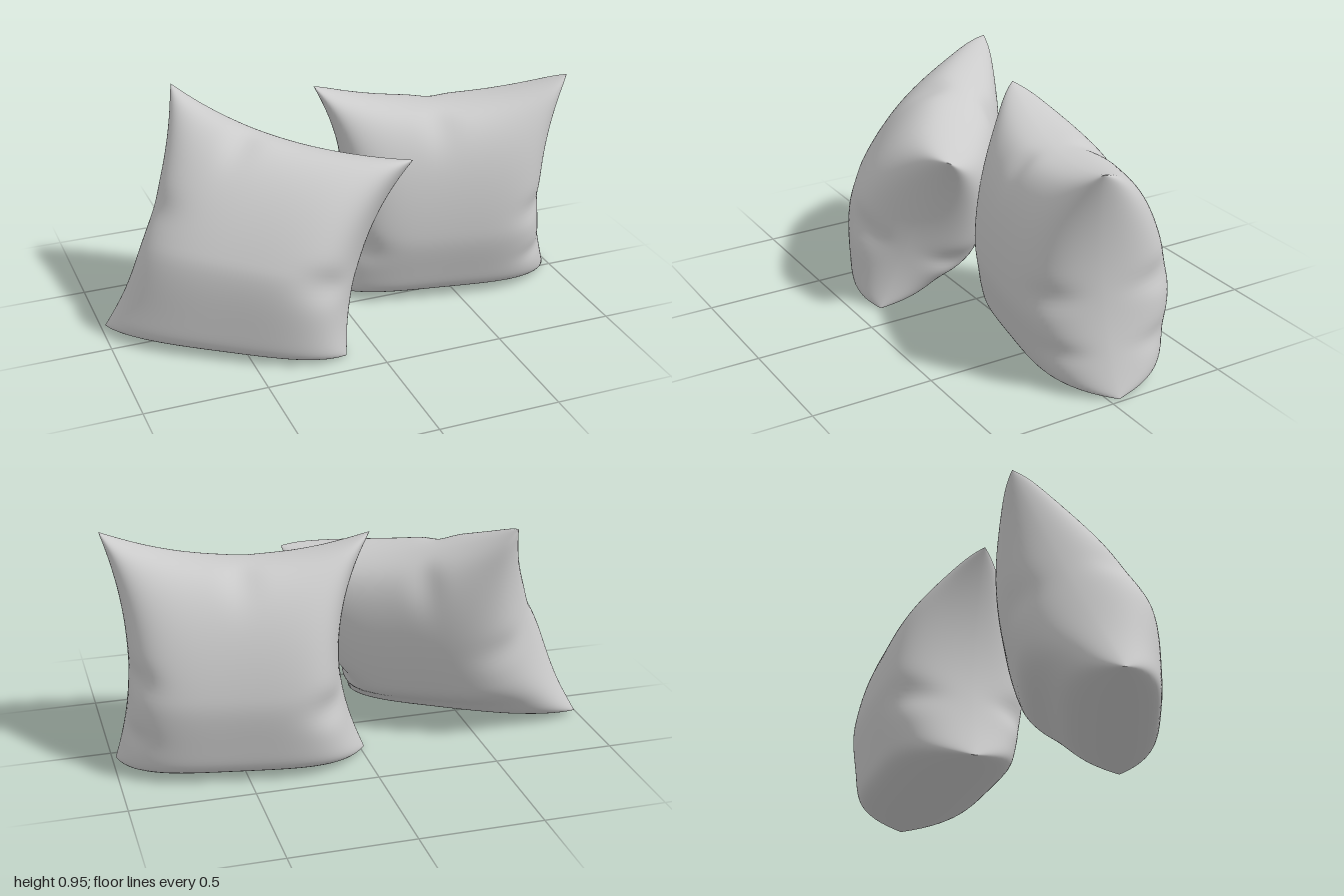
import * as THREE from 'three';
import { mergeVertices } from 'three/addons/utils/BufferGeometryUtils.js';

const N = 60;
const FLOOR = 0.005;
const material = new THREE.MeshStandardMaterial({ color: 0xcccccc });

// Fullness along the height: squashed and heavy at the base, tapering to the top
function heightProfile(v, belly, taper) {
  if (v < belly) return Math.sqrt(Math.max(0, 1 - ((belly - v) / (1 + belly)) ** 10));
  return Math.max(0, 1 - ((v - belly) / (1 - belly)) ** 2) ** taper;
}

// A stuffed cushion: two sheets bulging from a four-cornered seam, with pinched
// edges, folds pressed into the cloth and a base settled flat on the floor
function pillow(name, p) {
  const [bl, br, tl, tr] = p.corners.map((c) => new THREE.Vector3(...c));
  const across = br.clone().sub(bl).add(tr).sub(tl);
  const up = tl.clone().sub(bl).add(tr).sub(br);
  const normal = across.clone().cross(up).normalize();
  const level = normal.clone().setY(0).normalize();

  const point = (u, v, side) => {
    // Pull the middle of each edge inwards
    const pu = u > 0 ? p.pinch.right : p.pinch.left;
    const pv = v > 0 ? p.pinch.top : 0;
    const s = (1 + u - pu * (1 - v * v) * u ** 3) / 2;
    const t = (1 + v - pv * (1 - u * u) * v ** 3) / 2;
    const low = bl.clone().lerp(br, s);
    const high = tl.clone().lerp(tr, s);
    const pos = low.lerp(high, t);
    // Stuffing
    const sideFullness = u > 0 ? p.sideFullness.right : p.sideFullness.left;
    let thick = heightProfile(v, p.belly, p.taper);
    thick *= Math.max(0, 1 - Math.abs(u) ** sideFullness) ** 0.6;
    // Folds: [u, v, reach in u, reach in v, depth]
    for (const [fu, fv, ru, rv, depth] of p.folds) {
      thick *= 1 - depth * Math.exp(-(((u - fu) / ru) ** 2) - ((v - fv) / rv) ** 2);
    }
    // Thickness of the cloth edge keeps seams and corners blunt
    const rim = Math.sqrt(Math.max(0, (1 - u ** 20) * (1 - v ** 20)));
    thick = 0.86 * thick + 0.14 * rim;
    // Near the floor the stuffing spreads level instead of along the lean
    const free = THREE.MathUtils.smoothstep(v, -1, -0.25);
    const { depth, base } = side > 0 ? p.front : p.back;
    const out = level.clone().lerp(normal, free);
    pos.addScaledVector(out, side * depth * thick * THREE.MathUtils.lerp(base, 1, free));
    pos.y = Math.max(pos.y, FLOOR);
    return pos;
  };

  const positions = [];
  const index = [];
  const ease = (i) => Math.sin((i / N - 0.5) * Math.PI); // finer rows near the seam
  for (const side of [1, -1]) {
    const start = positions.length / 3;
    for (let j = 0; j <= N; j++) {
      for (let i = 0; i <= N; i++) positions.push(...point(ease(i), ease(j), side).toArray());
    }
    for (let j = 0; j < N; j++) {
      for (let i = 0; i < N; i++) {
        const a = start + j * (N + 1) + i;
        const b = a + 1, c = a + N + 1, d = c + 1;
        if (side > 0) index.push(a, b, d, a, d, c);
        else index.push(a, d, b, a, c, d);
      }
    }
  }
  let geometry = new THREE.BufferGeometry();
  geometry.setAttribute('position', new THREE.Float32BufferAttribute(positions, 3));
  geometry.setIndex(index);
  geometry = mergeVertices(geometry, 1e-5);
  geometry.computeVertexNormals();
  const mesh = new THREE.Mesh(geometry, material);
  mesh.name = name;
  return mesh;
}

export function createModel() {
  const group = new THREE.Group();
  group.name = 'pillows';

  // Upright pillow; corners run bottom left, bottom right, top left, top right
  group.add(pillow('uprightPillow', {
    corners: [[-0.02, 0.005, -0.22], [0.985, 0.005, -0.04], [-0.045, 0.935, -0.2], [0.985, 0.94, 0.065]],
    pinch: { left: 0.22, right: 0.16, top: 0.22 },
    belly: -0.4, taper: 0.66,
    sideFullness: { left: 4, right: 4 },
    front: { depth: 0.285, base: 0.85 },
    back: { depth: 0.345, base: 0.82 },
    folds: [
      [1, -0.12, 0.25, 0.12, 0.25], [1, -0.62, 0.22, 0.1, 0.2],
      [-1, -0.4, 0.3, 0.14, 0.3], [-0.05, 1, 0.12, 0.3, 0.3],
    ],
  }));

  // Leaning pillow, turned and tipped back
  group.add(pillow('leaningPillow', {
    corners: [[-0.985, 0.02, -0.17], [-0.13, 0.005, 0.39], [-0.595, 0.955, -0.395], [0.21, 0.75, 0.245]],
    pinch: { left: 0.16, right: 0.16, top: 0.16 },
    belly: -0.35, taper: 0.6,
    sideFullness: { left: 3, right: 4 },
    front: { depth: 0.29, base: 0.6 },
    back: { depth: 0.29, base: 0.7 },
    folds: [
      [1, -0.3, 0.3, 0.14, 0.3],
      [-0.25, 1, 0.12, 0.3, 0.3], [-1, 0.05, 0.3, 0.14, 0.2],
    ],
  }));
  return group;
}
